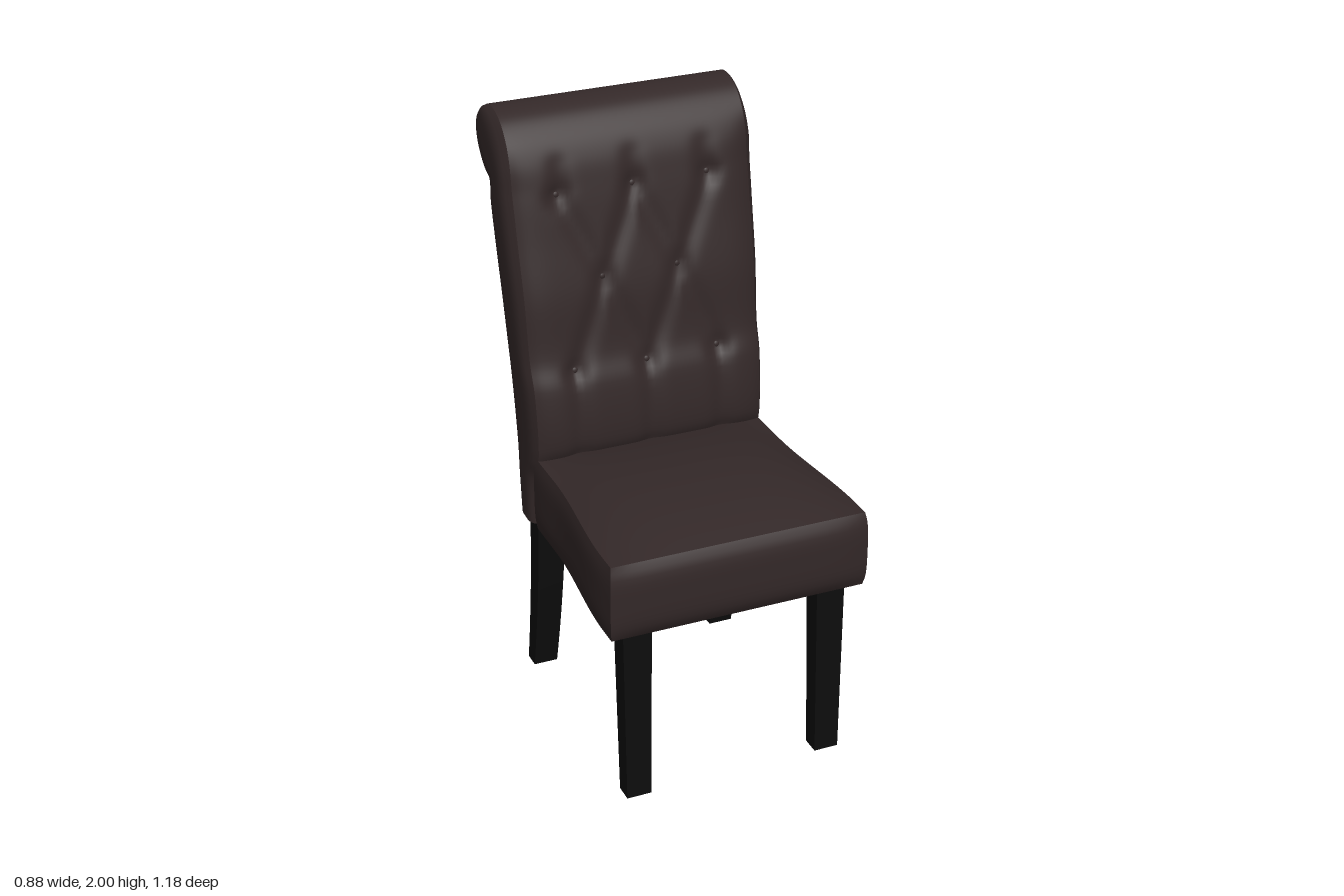
import * as THREE from 'three';

const fabric = new THREE.MeshStandardMaterial({ color: 0x332828 });
fabric.name = 'darkBrownUpholstery';
const wood = new THREE.MeshStandardMaterial({ color: 0x0d0d0d });
wood.name = 'blackWood';
const lining = new THREE.MeshStandardMaterial({ color: 0x4c412a });
lining.name = 'oliveLining';

const { lerp, smoothstep, clamp } = THREE.MathUtils;

// Smooth patch over u, v in 0..1; fn returns [x, y, z]
function patch(nu, nv, fn, flip = false) {
  const pos = [], idx = [];
  for (let j = 0; j <= nv; j++)
    for (let i = 0; i <= nu; i++) pos.push(...fn(i / nu, j / nv));
  for (let j = 0; j < nv; j++)
    for (let i = 0; i < nu; i++) {
      const a = j * (nu + 1) + i, b = a + 1, d = a + nu + 1, c = d + 1;
      if (flip) idx.push(a, c, b, a, d, c);
      else idx.push(a, b, c, a, c, d);
    }
  const g = new THREE.BufferGeometry();
  g.setAttribute('position', new THREE.Float32BufferAttribute(pos, 3));
  g.setIndex(idx);
  g.computeVertexNormals();
  return g;
}

// Move every vertex of a geometry by a rule
function shape(g, rule) {
  const p = g.attributes.position;
  for (let i = 0; i < p.count; i++) p.setXYZ(i, ...rule(p.getX(i), p.getY(i), p.getZ(i)));
  g.computeVertexNormals();
  return g;
}

function add(parent, name, geometry, material) {
  const m = new THREE.Mesh(geometry, material);
  m.name = name;
  parent.add(m);
  return m;
}

// Side profile of the backrest as matching front and rear points [z, y]
const curve = (pts) => new THREE.CatmullRomCurve3(pts.map(([z, y]) => new THREE.Vector3(0, y, z)));
const frontCurve = curve([[-0.195, 0.625], [-0.188, 0.8], [-0.142, 0.87], [-0.12, 0.93], [-0.135, 1.12],
  [-0.168, 1.22], [-0.195, 1.42], [-0.235, 1.6], [-0.268, 1.75], [-0.295, 1.845], [-0.337, 1.92],
  [-0.395, 1.977], [-0.48, 2.0], [-0.55, 1.972]]);
const rearCurve = curve([[-0.305, 0.635], [-0.325, 0.8], [-0.332, 0.87], [-0.34, 0.93], [-0.363, 1.1],
  [-0.378, 1.2], [-0.414, 1.4], [-0.446, 1.57], [-0.465, 1.69], [-0.462, 1.75], [-0.51, 1.762],
  [-0.565, 1.81], [-0.588, 1.895], [-0.55, 1.972]]);

// Tufting: button positions and the folds between them
const buttons = [[-0.26, 1.74], [0, 1.74], [0.26, 1.74], [-0.13, 1.46], [0.13, 1.46],
  [-0.25, 1.17], [0, 1.165], [0.25, 1.17]];
const folds = [[0, 3], [1, 3], [1, 4], [2, 4], [3, 5], [3, 6], [4, 6], [4, 7]]
  .map(([a, b]) => [...buttons[a], ...buttons[b]]);
for (const x of [-0.25, 0, 0.25]) folds.push([x, 1.17, x, 0.9], [x, 1.74, x, 1.84]);

function tuftDepth(x, y) {
  let fold = 0, dimple = 0;
  for (const [ax, ay, bx, by] of folds) {
    const dx = bx - ax, dy = by - ay;
    const t = clamp(((x - ax) * dx + (y - ay) * dy) / (dx * dx + dy * dy), 0, 1);
    const d = Math.hypot(x - ax - t * dx, y - ay - t * dy);
    fold = Math.max(fold, 0.013 * Math.exp(-((d / 0.035) ** 2)));
  }
  for (const [bx, by] of buttons)
    dimple = Math.max(dimple, 0.016 * Math.exp(-(((x - bx) ** 2 + (y - by) ** 2) / 0.0012)));
  return fold + dimple;
}

const halfWidth = (y) => lerp(0.393, 0.405, smoothstep(y, 0.65, 1.9));

// Point on the backrest: s from -1 to 1 across, t from 0 to 1 up
function frontPoint(s, t) {
  const p = frontCurve.getPoint(t), x = s * halfWidth(p.y);
  const fade = 1 - smoothstep(p.y, 1.75, 1.95);
  const z = p.z - fade * (tuftDepth(x, p.y) + 0.025 * Math.abs(s) ** 10 * smoothstep(p.y, 0.8, 0.95));
  return [x, p.y, z];
}
function rearPoint(s, t) {
  const p = rearCurve.getPoint(t), x = s * halfWidth(p.y);
  const seam = 0.009 * Math.exp(-((x / 0.014) ** 2)) + 0.004 * (1 - Math.cos(x * 31));
  return [x, p.y, p.z + seam * (1 - smoothstep(p.y, 1.6, 1.74))];
}

function makeBackrest() {
  const g = new THREE.Group();
  g.name = 'backrest';
  // Tufted front, scroll top and seamed rear in one wrap
  add(g, 'backrestCover', patch(64, 160, (u, v) =>
    v <= 0.5 ? frontPoint(u * 2 - 1, v * 2) : rearPoint(u * 2 - 1, 2 - v * 2)), fabric);
  // Padded side panels
  for (const side of [1, -1])
    add(g, side > 0 ? 'leftSidePanel' : 'rightSidePanel', patch(10, 80, (u, v) => {
      const a = frontPoint(side, v), b = rearPoint(side, v);
      const bulge = lerp(0.017, 0.03, smoothstep(a[1], 0.8, 1.9)) * (1 - (2 * u - 1) ** 4);
      const taper = 1 - v ** 16;
      return [lerp(a[0], b[0], u) + side * bulge * taper, lerp(a[1], b[1], u), lerp(a[2], b[2], u)];
    }, side < 0), fabric);
  add(g, 'backrestBottom', patch(64, 1, (u, v) =>
    v < 0.5 ? frontPoint(u * 2 - 1, 0) : rearPoint(u * 2 - 1, 0), true), fabric);
  // Covered buttons sitting in the dimples
  const buttonShape = new THREE.SphereGeometry(0.011, 12, 8).scale(1, 1, 0.5);
  for (const [x, y] of buttons) {
    let t = 0;
    while (frontCurve.getPoint(t).y < y) t += 0.002;
    const b = add(g, 'button', buttonShape, fabric);
    b.position.set(...frontPoint(x / halfWidth(y), t));
    b.rotation.x = -0.2;
  }
  return g;
}

// Seat cushion: flared towards the front, domed on top, padded walls
const seatHalfWidth = (z) => 0.395 + 0.035 * smoothstep(z, 0, 0.5);
function makeSeat() {
  return shape(new THREE.BoxGeometry(2, 2, 2, 24, 12, 24), (u, v, w) => {
    const pad = 1 - v ** 4;
    let z = lerp(-0.172, 0.563, (w + 1) / 2);
    const x = u * (seatHalfWidth(z) + 0.012 * pad * (1 - 0.4 * w ** 8));
    z += (w > 0 ? 0.027 : 0.01) * pad * Math.abs(w) ** 3 * (1 - 0.5 * u ** 8) * Math.sign(w);
    const dome = v > 0 ? v * 0.05 * (1 - u ** 4) * (1 - w * w) : 0;
    return [x, lerp(0.62, 0.882, (v + 1) / 2) + dome, z];
  });
}

// Tapered leg: zAt gives [rear, front] z for height fraction t
function makeLeg(side, zAt) {
  return shape(new THREE.BoxGeometry(1, 1, 1, 1, 12, 1), (x, y, z) => {
    const t = y + 0.5, [rear, front] = zAt(t);
    return [side * 0.3325 + x * lerp(0.083, 0.097, t), t * 0.64, lerp(rear, front, z + 0.5)];
  });
}

export function createModel() {
  const chair = new THREE.Group();
  chair.name = 'diningChair';
  chair.add(makeBackrest());
  add(chair, 'seat', makeSeat(), fabric);

  // Lining under the seat
  add(chair, 'seatLining', shape(new THREE.BoxGeometry(2, 0.006, 2, 1, 1, 8), (x, y, z) => {
    const zz = lerp(-0.16, 0.53, (z + 1) / 2);
    return [x * (seatHalfWidth(zz) - 0.03), 0.618 + y, zz];
  }), lining);

  for (const side of [1, -1]) {
    const label = side > 0 ? 'Left' : 'Right';
    add(chair, 'front' + label + 'Leg', makeLeg(side, (t) =>
      [lerp(0.48, 0.458, t), lerp(0.542, 0.535, t)]), wood);
    // Rear legs sweep backwards to the floor
    add(chair, 'rear' + label + 'Leg', makeLeg(side, (t) => {
      const sweep = (1 - t) ** 1.6;
      return [lerp(-0.283, -0.362, sweep), lerp(-0.208, -0.303, sweep)];
    }), wood);
  }
  return chair;
}
